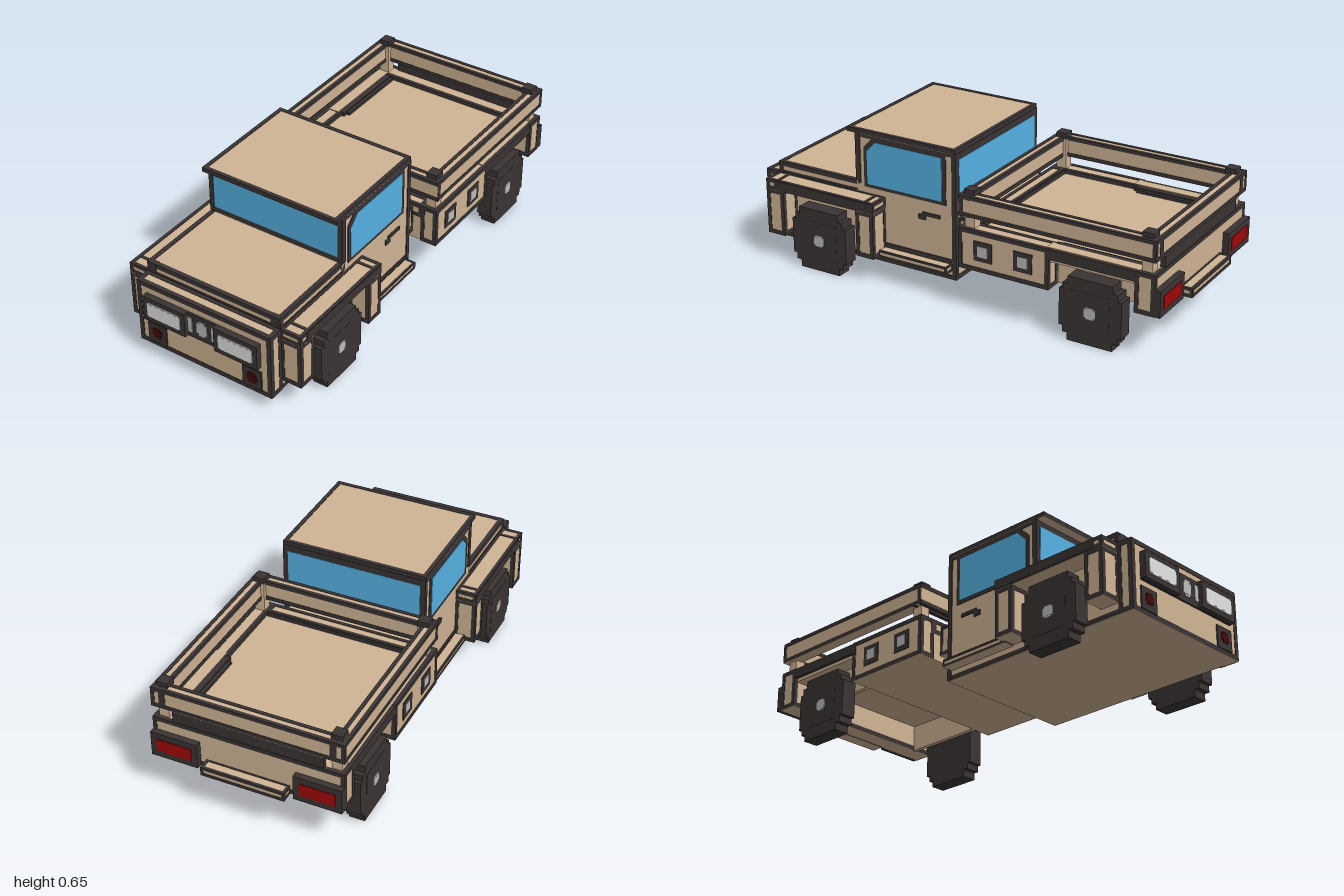
import * as THREE from 'three';

const mat = (name, color) => Object.assign(new THREE.MeshStandardMaterial({ color }), { name });

export function createModel() {
  const tan = mat('tan paint', 0xd0b594);
  const dark = mat('dark trim', 0x3b3434);
  const glass = mat('blue glass', 0x55b3e4);
  const lamp = mat('lamp white', 0xe4e4e4);
  const grey = mat('metal grey', 0xbcbcbc);
  const maroon = mat('fog lamp maroon', 0x470606);
  const red = mat('tail lamp red', 0xa00606);
  const model = new THREE.Group();
  model.name = 'truck';

  // Box from its limits: [x0, x1, y0, y1, z0, z1]
  function box(name, m, [x0, x1, y0, y1, z0, z1], parent = model) {
    const mesh = new THREE.Mesh(new THREE.BoxGeometry(x1 - x0, y1 - y0, z1 - z0), m);
    mesh.position.set((x0 + x1) / 2, (y0 + y1) / 2, (z0 + z1) / 2);
    mesh.name = name;
    parent.add(mesh);
  }
  // The same box on both sides
  function pair(name, m, [x0, x1, ...r], make = box, t) {
    make(name + 'Left', m, [x0, x1, ...r], t);
    make(name + 'Right', m, [-x1, -x0, ...r], t);
  }
  // Panel box with dark bars along its edges and a plain underside
  function edged(name, m, [x0, x1, y0, y1, z0, z1], t = 0.02) {
    const g = new THREE.Group();
    g.name = name;
    model.add(g);
    box(name + 'Panel', m, [x0, x1, y0, y1, z0, z1], g);
    const e = 0.002, X0 = x0 - e, X1 = x1 + e, Z0 = z0 - e, Z1 = z1 + e;
    const b = y0 + e / 2, c = y1 + e, h = Math.min(t, (c - b) / 2);
    for (const [p, q] of [[b, b + h], [c - h, c]]) {
      box('edge', dark, [X0, X1, p, q, Z0, Z0 + t], g);
      box('edge', dark, [X0, X1, p, q, Z1 - t, Z1], g);
      box('edge', dark, [X0, X0 + t, p, q, Z0 + t, Z1 - t], g);
      box('edge', dark, [X1 - t, X1, p, q, Z0 + t, Z1 - t], g);
    }
    if (c - b > 2 * t) for (const [p, q] of [[X0, X0 + t], [X1 - t, X1]])
      for (const [u, v] of [[Z0, Z0 + t], [Z1 - t, Z1]])
        box('edge', dark, [p, q, b + t, c - t, u, v], g);
    // cover the bars from below
    box('underside', m, [X0, X1, y0, b, Z0, Z1], g);
  }

  // Cab, hood and nose
  box('cabLower', tan, [-0.322, 0.322, 0.073, 0.42, 0, 0.49]);
  box('engineBay', tan, [-0.322, 0.322, 0.073, 0.37, 0.49, 0.9]);
  box('cabUpper', tan, [-0.322, 0.322, 0.42, 0.635, 0, 0.485]);
  edged('hood', tan, [-0.32, 0.32, 0.36, 0.418, 0.47, 0.9]);
  pair('hoodCornerTrim', dark, [0.278, 0.31, 0.37, 0.42, 0.88, 0.903]);
  edged('nose', tan, [-0.322, 0.322, 0.071, 0.37, 0.9, 0.968]);
  edged('roof', tan, [-0.323, 0.323, 0.632, 0.65, 0, 0.53], 0.018);

  // Windshield and rear window
  for (const [name, z0, z1] of [['windshield', 0.484, 0.49], ['rearWindow', -0.004, 0.002]]) {
    box(name + 'Frame', dark, [-0.325, 0.325, 0.42, 0.634, z0, z1]);
    box(name, glass, [-0.302, 0.302, 0.444, 0.607, z0 - 0.002, z1 + 0.002]);
  }
  pair('rearCornerTrim', dark, [0.305, 0.3255, 0.076, 0.634, -0.003, 0.017]);
  box('rearSillTrim', dark, [-0.322, 0.322, 0.076, 0.095, -0.003, 0.01]);
  pair('frontPillarTrim', dark, [0.305, 0.3255, 0.42, 0.634, 0.468, 0.492]);
  pair('roofSideTrim', dark, [0.31, 0.325, 0.618, 0.634, 0, 0.49]);
  pair('sillTrim', dark, [0.315, 0.3245, 0.076, 0.093, 0, 0.9]);

  // Side windows with a clipped front corner
  function pane(name, m, s, x, y0, y1, z0, z1, cut) {
    const shape = new THREE.Shape([[z0, y0], [z1, y0], [z1, y1 - cut], [z1 - cut, y1], [z0, y1]]
      .map(([z, y]) => new THREE.Vector2(-z, y)));
    const mesh = new THREE.Mesh(new THREE.ExtrudeGeometry(shape, { depth: 0.006, bevelEnabled: false }), m);
    mesh.rotation.y = Math.PI / 2;
    mesh.position.x = s > 0 ? x - 0.006 : -x;
    mesh.name = name;
    model.add(mesh);
  }
  for (const s of [1, -1]) {
    pane('sideWindowFrame', dark, s, 0.325, 0.4, 0.622, 0.045, 0.45, 0.045);
    pane('sideWindow', glass, s, 0.327, 0.415, 0.607, 0.064, 0.433, 0.045);
  }
  pair('doorHandle', dark, [0.32, 0.328, 0.335, 0.35, 0.075, 0.16]);
  pair('doorHandleEnd', dark, [0.32, 0.328, 0.315, 0.337, 0.145, 0.18]);
  pair('doorBottomSeam', dark, [0.318, 0.325, 0.15, 0.165, 0.02, 0.35]);
  pair('runningBoard', tan, [0.32, 0.37, 0.115, 0.145, 0.02, 0.36], edged, 0.009);

  // Front fenders
  pair('fenderTop', tan, [0.32, 0.413, 0.325, 0.37, 0.35, 0.9], edged, 0.015);
  pair('fenderArchTrim', dark, [0.35, 0.4165, 0.33, 0.368, 0.352, 0.86]);
  for (const z of [0.385, 0.838]) pair('fenderTopBand', dark, [0.32, 0.413, 0.36, 0.3725, z, z + 0.014]);
  pair('fenderFront', tan, [0.32, 0.413, 0.12, 0.325, 0.815, 0.9], edged, 0.018);
  pair('fenderRear', tan, [0.32, 0.413, 0.12, 0.325, 0.352, 0.435], edged, 0.018);

  // Headlights, grille and fog lamps
  box('grilleSurround', dark, [-0.275, 0.275, 0.21, 0.325, 0.965, 0.976]);
  pair('headlightHousing', dark, [0.07, 0.277, 0.212, 0.326, 0.97, 0.996]);
  pair('headlight', lamp, [0.092, 0.256, 0.24, 0.3, 0.992, 1]);
  pair('headlightInner', lamp, [0.098, 0.25, 0.235, 0.305, 0.992, 0.9995]);
  box('grilleCentre', grey, [-0.025, 0.025, 0.245, 0.295, 0.972, 0.979]);
  box('grilleCentreTall', grey, [-0.015, 0.015, 0.235, 0.305, 0.972, 0.9785]);
  pair('grilleSlat', grey, [0.047, 0.069, 0.235, 0.305, 0.972, 0.979]);
  pair('fogLampHousing', dark, [0.187, 0.278, 0.09, 0.185, 0.966, 0.974]);
  pair('fogLamp', maroon, [0.218, 0.248, 0.117, 0.163, 0.97, 0.977]);
  pair('fogLampWide', maroon, [0.21, 0.256, 0.127, 0.153, 0.97, 0.9765]);

  // Wheels with a stepped outline
  const quarter = [[0.138, 0.08], [0.122, 0.08], [0.122, 0.108], [0.1, 0.108], [0.1, 0.14]];
  const flip = (list, a, b) => list.map(([x, y]) => [x * a, y * b]);
  const back = [...quarter].reverse();
  const outline = [...quarter, ...flip(back, -1, 1), ...flip(quarter, -1, -1), ...flip(back, 1, -1)]
    .map(([x, y]) => new THREE.Vector2(x, y));
  const tyre = new THREE.ExtrudeGeometry(new THREE.Shape(outline), { depth: 0.068, bevelEnabled: false });
  for (const s of [1, -1]) for (const z of [0.63, -0.675]) {
    const wheel = new THREE.Group();
    wheel.name = 'wheel';
    wheel.position.set(s * 0.348, 0.14, z);
    wheel.rotation.y = s * Math.PI / 2;
    wheel.add(Object.assign(new THREE.Mesh(tyre, dark), { name: 'tyre' }));
    box('rim', dark, [-0.085, 0.085, -0.085, 0.085, 0.06, 0.069], wheel);
    box('hub', grey, [-0.025, 0.025, -0.018, 0.018, 0.065, 0.072], wheel);
    box('hubTall', grey, [-0.018, 0.018, -0.025, 0.025, 0.065, 0.0715], wheel);
    model.add(wheel);
  }

  // Link between cab and bed
  edged('bedLink', tan, [-0.295, 0.295, 0.22, 0.348, -0.075, 0.003], 0.014);

  // Load bed: floor, lower body and wheel bays
  box('bedFloor', tan, [-0.4, 0.4, 0.31, 0.35, -0.94, -0.08]);
  box('bedFrontBody', tan, [-0.345, 0.345, 0.192, 0.315, -0.485, -0.075]);
  pair('wheelBayWall', tan, [0.31, 0.33, 0.192, 0.315, -0.87, -0.48]);
  pair('bedSidePanel', tan, [0.34, 0.412, 0.192, 0.368, -0.485, -0.072], edged, 0.018);
  pair('bedArch', dark, [0.325, 0.413, 0.325, 0.368, -0.865, -0.48]);
  pair('bedArchRim', tan, [0.35, 0.398, 0.36, 0.371, -0.88, -0.47]);
  pair('wheelBayRim', dark, [0.31, 0.332, 0.34, 0.362, -0.9, -0.5]);
  pair('bedInnerRim', dark, [0.345, 0.362, 0.34, 0.366, -0.5, -0.13]);
  box('bedFrontRim', dark, [-0.345, 0.345, 0.34, 0.366, -0.14, -0.124]);
  box('bedRearRim', dark, [-0.33, 0.33, 0.34, 0.366, -0.912, -0.895]);
  edged('bedFrontSill', tan, [-0.34, 0.34, 0.31, 0.368, -0.13, -0.072], 0.016);
  edged('bedRearPanel', tan, [-0.412, 0.412, 0.195, 0.368, -0.948, -0.865], 0.018);

  // Square side ports
  for (const z of [-0.185, -0.37]) {
    pair('sidePort', dark, [0.408, 0.4155, 0.24, 0.326, z - 0.043, z + 0.043]);
    pair('sidePortCentre', grey, [0.41, 0.4175, 0.26, 0.306, z - 0.023, z + 0.023]);
  }

  // Rails and posts round the bed, with a closed tailgate between the rear posts
  pair('sideRail', tan, [0.366, 0.413, 0.422, 0.51, -0.948, -0.08], edged, 0.016);
  edged('rearRail', tan, [-0.366, 0.366, 0.422, 0.51, -0.948, -0.9], 0.016);
  box('tailgateLower', dark, [-0.325, 0.325, 0.365, 0.425, -0.947, -0.925]);
  box('frontRail', tan, [-0.413, 0.413, 0.43, 0.5, -0.12, -0.074]);
  for (const y of [0.42, 0.494])
    for (const z of [-0.088, -0.122]) box('frontRailEdge', dark, [-0.415, 0.415, y, y + 0.018, z, z + 0.016]);
  box('frontRailTop', tan, [-0.39, 0.39, 0.495, 0.51, -0.11, -0.085]);
  for (const z of [-0.113, -0.905]) {
    pair('railPost', tan, [0.35, 0.395, 0.345, 0.508, z - 0.023, z + 0.023]);
    pair('railPostCap', dark, [0.348, 0.397, 0.505, 0.532, z - 0.025, z + 0.025]);
  }

  // Tail lamps and rear bumper
  pair('tailLampHousing', dark, [0.207, 0.414, 0.197, 0.31, -0.975, -0.945]);
  pair('tailLamp', red, [0.234, 0.387, 0.225, 0.283, -0.978, -0.972]);
  edged('rearBumper', tan, [-0.18, 0.18, 0.192, 0.23, -0.998, -0.945], 0.012);

  return model;
}
